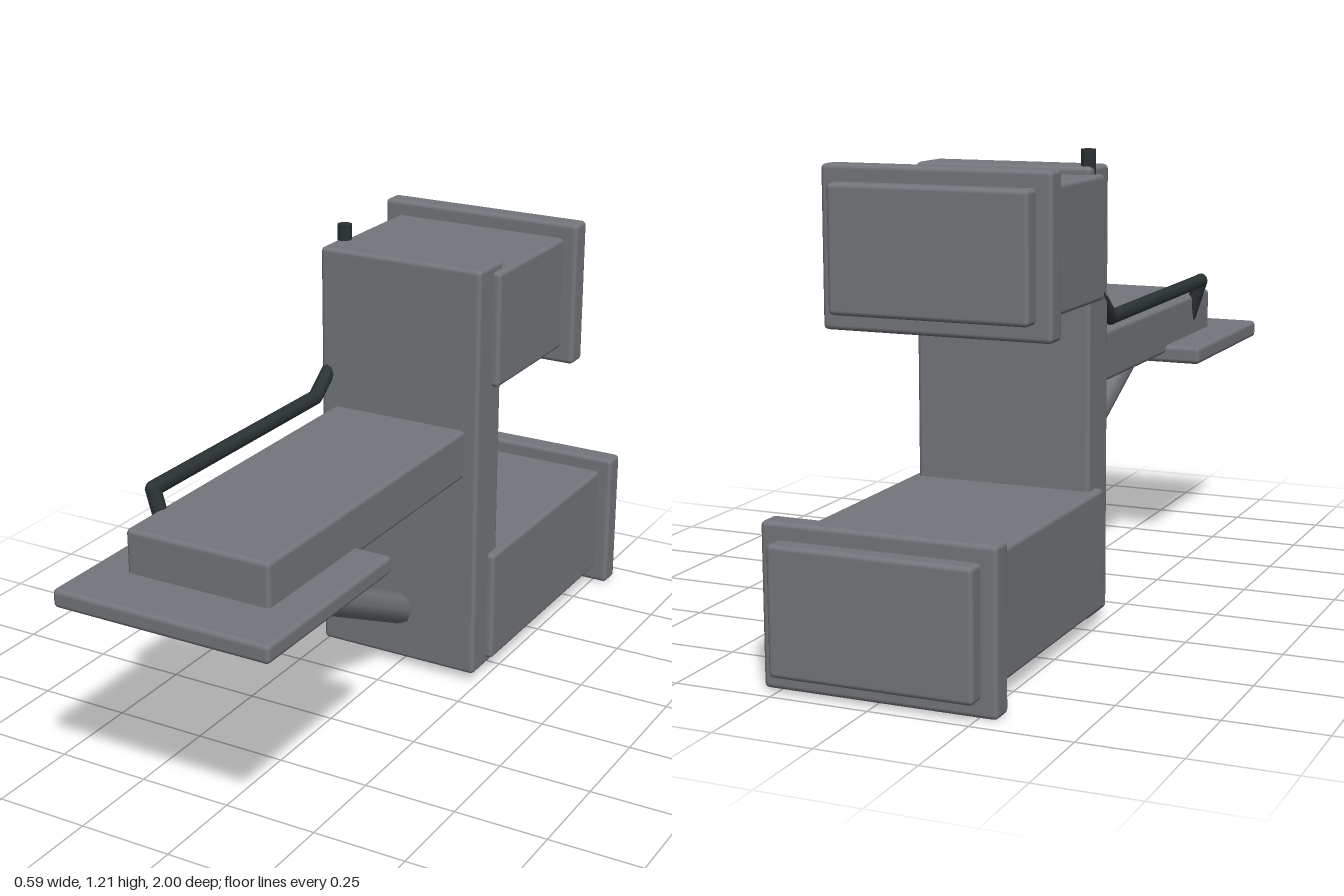
import * as THREE from 'three';
import { RoundedBoxGeometry } from 'three/addons/geometries/RoundedBoxGeometry.js';

export function createModel() {
  const model = new THREE.Group();
  const grey = new THREE.MeshStandardMaterial({ color: 0x73767b });
  grey.name = 'steel grey';
  const dark = new THREE.MeshStandardMaterial({ color: 0x2b3335 });
  dark.name = 'cable black';

  // Softly bevelled box given by its extents
  function box(name, [x0, x1], [y0, y1], [z0, z1], parent = model) {
    const geo = new RoundedBoxGeometry(x1 - x0, y1 - y0, z1 - z0, 2, 0.012);
    const mesh = new THREE.Mesh(geo, grey);
    mesh.position.set((x0 + x1) / 2, (y0 + y1) / 2, (z0 + z1) / 2);
    mesh.name = name;
    parent.add(mesh);
  }

  // Straight eight-sided rod between two points
  function rod(name, from, to, radius, material, parent = model) {
    const a = new THREE.Vector3(...from);
    const b = new THREE.Vector3(...to);
    const dir = b.clone().sub(a);
    const mesh = new THREE.Mesh(new THREE.CylinderGeometry(radius, radius, dir.length(), 8), material);
    mesh.position.copy(a).add(b).multiplyScalar(0.5);
    mesh.quaternion.setFromUnitVectors(new THREE.Vector3(0, 1, 0), dir.normalize());
    mesh.name = name;
    parent.add(mesh);
  }

  // Upright column
  box('column', [-0.238, 0.236], [0.025, 1.173], [-0.245, -0.113]);

  // Two rear blocks, each with a collar near its end
  const blocks = [
    { name: 'upperBlock', y: [0.84, 1.153], end: -0.683, collar: [-0.635, -0.57] },
    { name: 'lowerBlock', y: [0.045, 0.36], end: -0.997, collar: [-0.95, -0.885] },
  ];
  for (const { name, y, end, collar } of blocks) {
    const block = new THREE.Group();
    block.name = name;
    box('blockBody', [-0.258, 0.256], y, [end, -0.188], block);
    box('blockCollar', [-0.297, 0.295], [y[0] - 0.043, y[1] + 0.041], collar, block);
    model.add(block);
  }

  // Forward arm, front plate and diagonal brace
  box('arm', [-0.199, 0.197], [0.60, 0.735], [-0.18, 0.84]);
  box('frontPlate', [-0.297, 0.295], [0.575, 0.623], [0.447, 1.0]);
  rod('brace', [0, 0.132, -0.2], [0, 0.595, 0.742], 0.044, grey);

  // Cable from the column top down to the side of the arm
  const cable = new THREE.Group();
  cable.name = 'cable';
  const path = [
    [-0.22, 1.215, -0.21], [-0.22, 0.9, -0.21], [-0.22, 0.775, -0.05],
    [-0.22, 0.779, 0.695], [-0.165, 0.62, 0.705],
  ];
  for (let i = 1; i < path.length; i++) {
    rod('cableRun', path[i - 1], path[i], 0.02, dark, cable);
    if (i === path.length - 1) continue;
    const bend = new THREE.Mesh(new THREE.SphereGeometry(0.02, 8, 6), dark);
    bend.position.set(...path[i]);
    bend.name = 'cableBend';
    cable.add(bend);
  }
  model.add(cable);

  return model;
}
